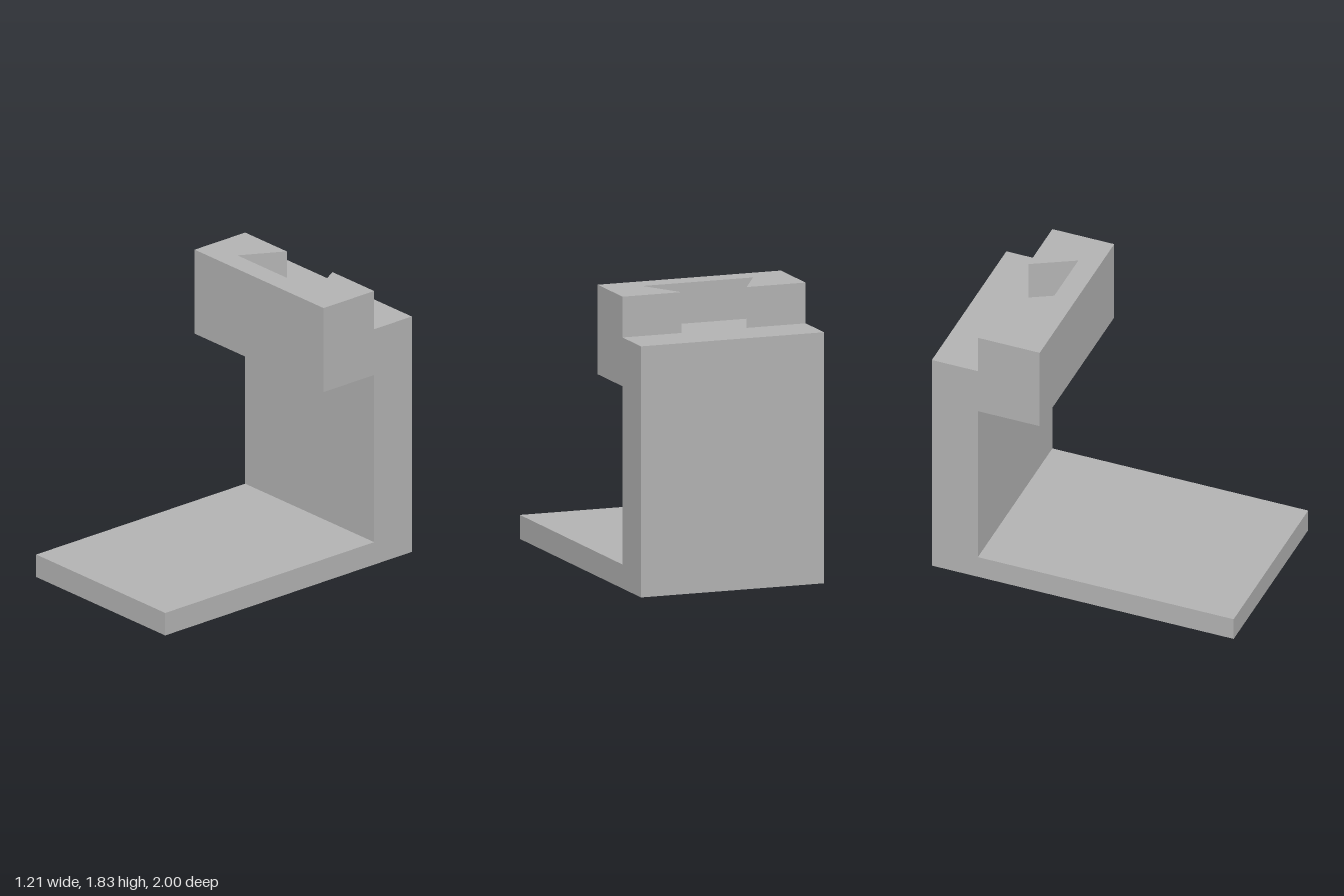
import * as THREE from 'three';

const WIDTH = 1.21;
const LEDGE = 1.57; // height of the rear ledge and slot floor
const TOP = 1.825;

function extrude(points, depth) {
  const shape = new THREE.Shape(points.map(([x, y]) => new THREE.Vector2(x, y)));
  return new THREE.ExtrudeGeometry(shape, { depth, bevelEnabled: false });
}

export function createModel() {
  const model = new THREE.Group();
  model.name = 'dovetailBracket';
  const grey = new THREE.MeshStandardMaterial({ color: 0xb2b2b2 });
  grey.name = 'plain grey';

  // Base plate, upright wall and overhang: side profile (z, y) swept across the width
  const bodyGeometry = extrude([
    [-1, 0], [1, 0], [1, 0.15], [-0.695, 0.15],
    [-0.695, 1.265], [-0.285, 1.265], [-0.285, LEDGE], [-1, LEDGE],
  ], WIDTH);
  bodyGeometry.rotateY(-Math.PI / 2).translate(WIDTH / 2, 0, 0);
  const body = new THREE.Mesh(bodyGeometry, grey);
  body.name = 'bracketBody';

  // Upper block with a dovetail slot open to the back: plan outline (x, -z)
  const half = WIDTH / 2;
  const blockGeometry = extrude([
    [-half, 0.285], [half, 0.285], [half, 0.695], [0.215, 0.695],
    [0.365, 0.425], [-0.365, 0.425], [-0.215, 0.695], [-half, 0.695],
  ], TOP - LEDGE);
  blockGeometry.rotateX(-Math.PI / 2).translate(0, LEDGE, 0);
  const block = new THREE.Mesh(blockGeometry, grey);
  block.name = 'dovetailBlock';

  model.add(body, block);
  return model;
}
